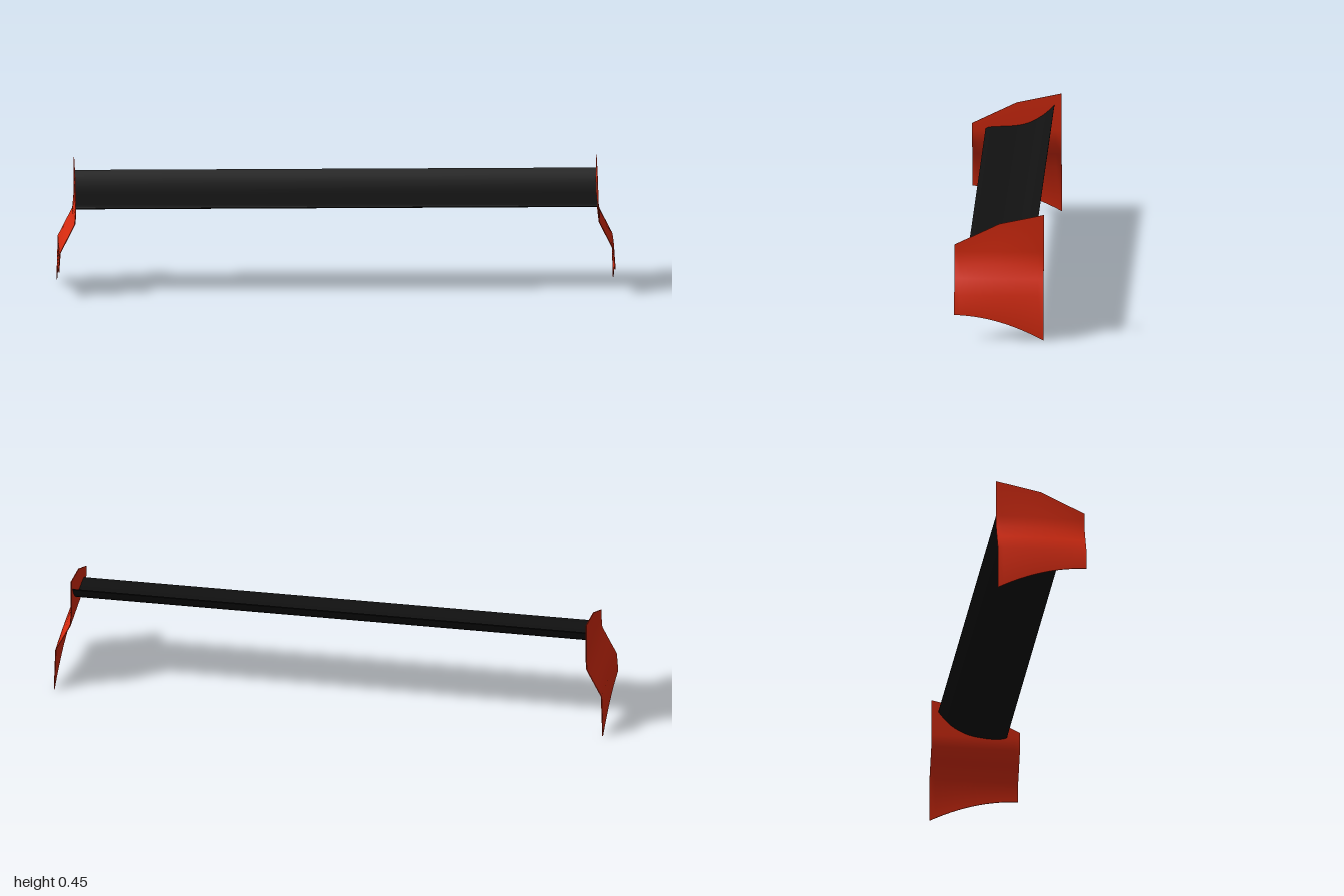
import * as THREE from 'three';
import { toCreasedNormals } from 'three/addons/utils/BufferGeometryUtils.js';

// Skin a row of equal rings (counter-clockwise seen from the last one) and cap both ends.
function loft(rings) {
  const n = rings[0].length, index = [];
  for (let r = 0; r < rings.length - 1; r++) {
    for (let i = 0; i < n; i++) {
      const j = (i + 1) % n, a = r * n, b = a + n;
      index.push(a + i, a + j, b + j, a + i, b + j, b + i);
    }
  }
  // Caps join the two long sides of the ring rung by rung
  const e = (rings.length - 1) * n;
  for (let i = 0; i < n / 2 - 1; i++) {
    const k = n - 1 - i;
    index.push(e + i, e + i + 1, e + k - 1, e + i, e + k - 1, e + k);
    index.push(i, k - 1, i + 1, i, k, k - 1);
  }
  const geometry = new THREE.BufferGeometry();
  geometry.setAttribute('position', new THREE.Float32BufferAttribute(rings.flat(2), 3));
  geometry.setIndex(index);
  return toCreasedNormals(geometry, 0.65);
}

const curve = (points, count) =>
  new THREE.SplineCurve(points.map(p => new THREE.Vector2(...p))).getPoints(count);

// Cambered blade: section points are [z, y]
function bladeGeometry() {
  const under = curve([[0.112, 0.317], [0.09, 0.311], [0.04, 0.31], [-0.03, 0.322],
    [-0.09, 0.355], [-0.135, 0.405]], 20);
  const upper = curve([[-0.135, 0.409], [-0.1, 0.376], [-0.05, 0.346], [0, 0.333],
    [0.06, 0.329], [0.1, 0.326], [0.112, 0.319]], 20);
  const section = [...under, ...upper];
  return loft([-0.938, 0.938].map(x => section.map(p => [x, p.y, p.x])));
}

// Cranked end plate: upright top, sloping middle, upright foot
function plateGeometry(side) {
  const rings = [];
  const steps = 16;
  for (let s = 0; s <= steps; s++) {
    const z = -0.16 + 0.32 * s / steps;
    const top = z < 0 ? 0.417 - z * 0.034 / 0.16 : 0.417 - z * 0.077 / 0.16;
    const bottom = z < 0 ? 0.07 + 0.29 * z - 0.8 * z * z : 0.07 + 0.29 * z - 0.85 * z * z;
    const swell = 0.006 * (1 - (z / 0.16) ** 2);
    const rows = [[1, bottom, 0], [0.995, 0.165, 0.2], [0.966, 0.222, 1],
      [0.942, 0.27, 1], [0.939, 0.315, 0.3], [0.939, top, 0]];
    const outer = rows.map(([x, y, k]) => [side * Math.min(1, x + swell * k), y, z]);
    const inner = rows.map(([x, y]) => [side * (x - 0.003), y, z]).reverse();
    const ring = [...outer, ...inner];
    rings.push(side > 0 ? ring : ring.reverse());
  }
  return loft(rings);
}

export function createModel() {
  const group = new THREE.Group();
  const black = new THREE.MeshStandardMaterial({ color: 0x111111 });
  const red = new THREE.MeshStandardMaterial({ color: 0xdd2c10 });

  const add = (name, geometry, material) => {
    const mesh = new THREE.Mesh(geometry, material);
    mesh.name = name;
    group.add(mesh);
  };

  add('wingBlade', bladeGeometry(), black);
  add('leftEndPlate', plateGeometry(1), red);
  add('rightEndPlate', plateGeometry(-1), red);
  return group;
}
